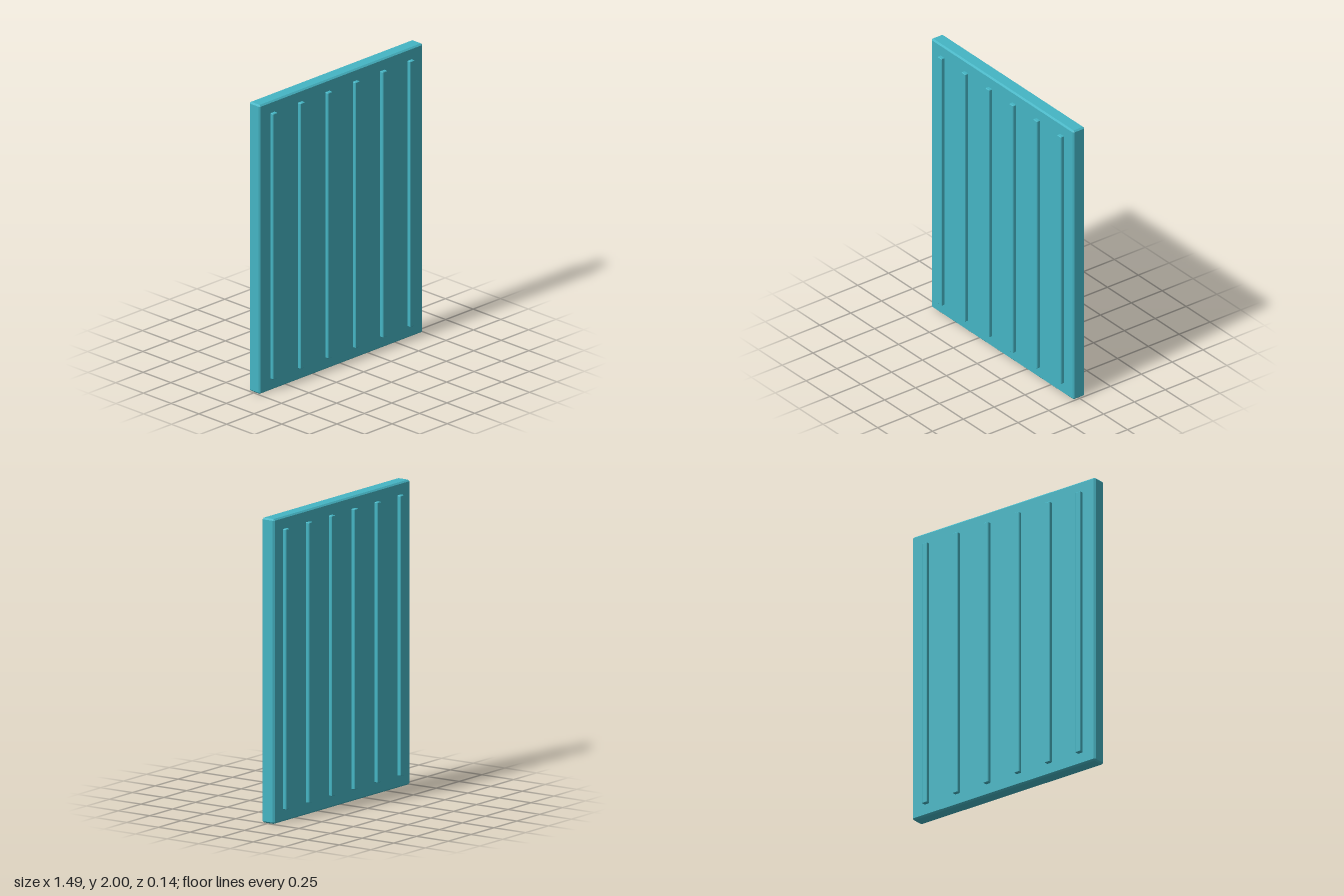
import * as THREE from 'three';
import { ConvexGeometry } from 'three/addons/geometries/ConvexGeometry.js';

// Box with a single flat chamfer of size c along every edge
function chamferBox(w, h, d, c) {
  const points = [];
  for (const x of [-1, 1]) for (const y of [-1, 1]) for (const z of [-1, 1]) {
    for (let axis = 0; axis < 3; axis++) {
      const inset = [c, c, c];
      inset[axis] = 0;
      points.push(new THREE.Vector3(
        x * (w / 2 - inset[0]), y * (h / 2 - inset[1]), z * (d / 2 - inset[2])));
    }
  }
  return new ConvexGeometry(points);
}

export function createModel() {
  const model = new THREE.Group();
  model.name = 'ribbedPanel';
  const teal = new THREE.MeshStandardMaterial({ color: 0x45b5c4, flatShading: true });

  // Flat slab
  const panel = new THREE.Mesh(chamferBox(1.49, 2, 0.096, 0.01), teal);
  panel.name = 'panel';
  panel.position.y = 1;
  model.add(panel);

  // Six upright ribs, standing proud of both faces
  const ribGeometry = chamferBox(0.041, 1.84, 0.144, 0.004);
  for (let i = 0; i < 6; i++) {
    const rib = new THREE.Mesh(ribGeometry, teal);
    rib.name = `rib${i + 1}`;
    rib.position.set((i - 2.5) * 0.25, 1, 0);
    model.add(rib);
  }
  return model;
}
